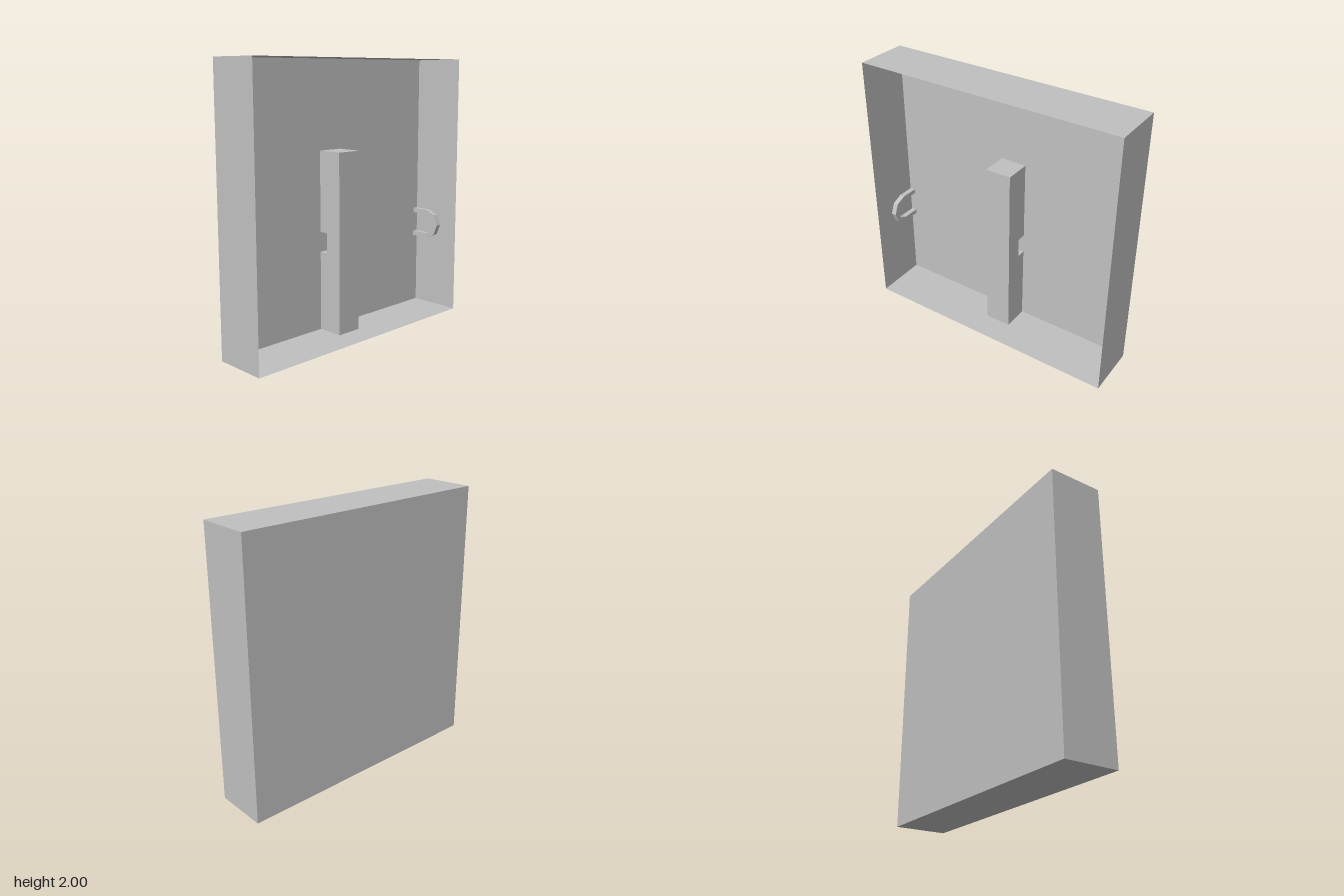
import * as THREE from 'three';

export function createModel() {
  const model = new THREE.Group();
  const grey = new THREE.MeshStandardMaterial({ color: 0xc0c0c0, side: THREE.DoubleSide });
  grey.name = 'plain grey';

  const add = (name, geometry, x = 0, y = 0, z = 0) => {
    const mesh = new THREE.Mesh(geometry, grey);
    mesh.name = name;
    mesh.position.set(x, y, z);
    model.add(mesh);
    return mesh;
  };

  // Extrude a (z, y) outline along x, centred on x = 0
  const extrudeAlongX = (shape, width) =>
    new THREE.ExtrudeGeometry(shape, { depth: width, bevelEnabled: false })
      .translate(0, 0, -width / 2)
      .rotateY(-Math.PI / 2);

  // Shallow tray made of thin sheets, open to the front
  const W = 2, H = 2, D = 0.4;
  add('backPanel', new THREE.PlaneGeometry(W, H).rotateY(Math.PI), 0, H / 2, -D / 2);
  add('topPanel', new THREE.PlaneGeometry(W, D).rotateX(-Math.PI / 2), 0, H, 0);
  add('bottomPanel', new THREE.PlaneGeometry(W, D).rotateX(Math.PI / 2), 0, 0, 0);
  for (const [side, s] of [['left', 1], ['right', -1]]) {
    add(side + 'Panel', new THREE.PlaneGeometry(D, H).rotateY(s * Math.PI / 2), s * W / 2, H / 2, 0);
  }

  // Post with a notch cut into its rear face
  const post = new THREE.Shape([
    [0, 0], [0, 1.345], [-0.199, 1.345], [-0.199, 0.745],
    [-0.13, 0.745], [-0.13, 0.595], [-0.199, 0.595], [-0.199, 0],
  ].map(([z, y]) => new THREE.Vector2(z, y)));
  add('post', extrudeAlongX(post, 0.2), 0, 0.001, 0);

  // U-shaped handles, with a faceted bend facing forward
  const outer = 0.115, inner = 0.08, bendZ = -0.065, bendY = 0.675, steps = 4;
  const arc = (r) => Array.from({ length: steps + 1 }, (_, i) => {
    const a = Math.PI / 2 - (i / steps) * Math.PI;
    return new THREE.Vector2(bendZ + r * Math.cos(a), bendY + r * Math.sin(a));
  });
  const back = (y) => new THREE.Vector2(-D / 2, y);
  const handle = new THREE.Shape([
    back(bendY + outer), ...arc(outer), back(bendY - outer),
    back(bendY - inner), ...arc(inner).reverse(), back(bendY + inner),
  ]);
  for (const [side, s] of [['left', 1], ['right', -1]]) {
    add(side + 'Handle', extrudeAlongX(handle, 0.04), s * 0.975, 0, 0);
  }

  return model;
}
